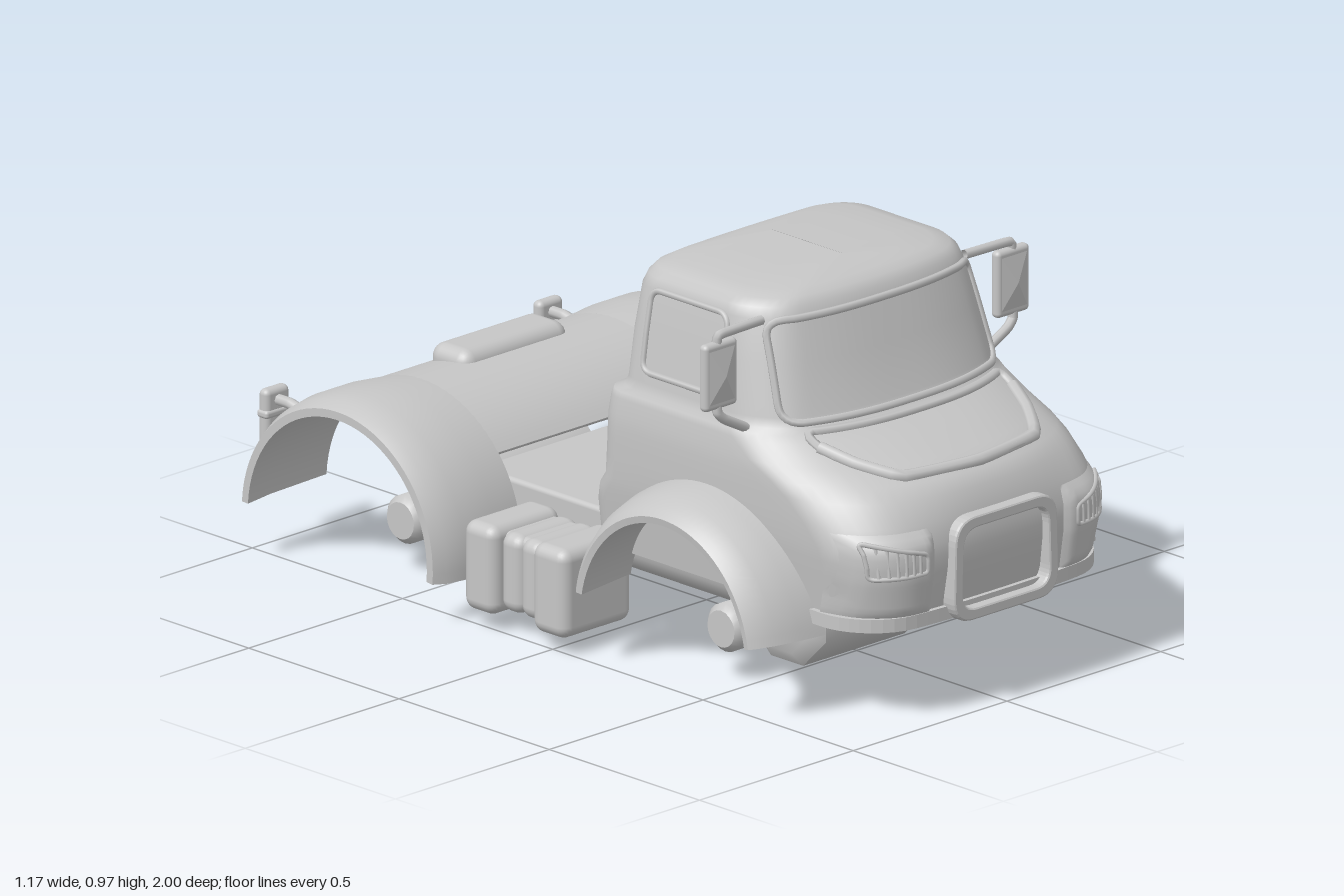
import * as THREE from 'three';
import { toCreasedNormals } from 'three/addons/utils/BufferGeometryUtils.js';
import { RoundedBoxGeometry } from 'three/addons/geometries/RoundedBoxGeometry.js';

const PI = Math.PI;
const V2 = (x, y) => new THREE.Vector2(x, y);
const V3 = (x, y, z) => new THREE.Vector3(x, y, z);

// Cab levels: y, front z, back z, half width, front bow, front corner, back corner
const LEVELS = [
  [0.25, 0.962, 0.01, 0.395, 0.03, 0.14, 0.06],
  [0.36, 0.978, 0.01, 0.41, 0.03, 0.14, 0.06],
  [0.40, 0.98, 0.02, 0.415, 0.035, 0.14, 0.06],
  [0.43, 0.98, 0.042, 0.418, 0.045, 0.14, 0.06],
  [0.48, 0.972, 0.047, 0.42, 0.08, 0.14, 0.06],
  [0.53, 0.95, 0.05, 0.42, 0.13, 0.13, 0.06],
  [0.56, 0.925, 0.051, 0.42, 0.17, 0.12, 0.06],
  [0.59, 0.867, 0.052, 0.418, 0.19, 0.11, 0.06],
  [0.63, 0.765, 0.055, 0.412, 0.16, 0.10, 0.06],
  [0.645, 0.725, 0.06, 0.408, 0.13, 0.10, 0.06],
  [0.657, 0.695, 0.088, 0.398, 0.11, 0.10, 0.06],
  [0.68, 0.674, 0.095, 0.393, 0.09, 0.10, 0.06],
  [0.80, 0.632, 0.098, 0.375, 0.075, 0.10, 0.06],
  [0.90, 0.597, 0.10, 0.356, 0.06, 0.10, 0.07],
  [0.925, 0.587, 0.105, 0.348, 0.06, 0.10, 0.08],
  [0.942, 0.57, 0.116, 0.33, 0.05, 0.10, 0.08],
  [0.953, 0.545, 0.132, 0.285, 0.04, 0.09, 0.08],
  [0.962, 0.505, 0.165, 0.18, 0.015, 0.07, 0.06],
  [0.967, 0.45, 0.22, 0.0005, 0, 0.0003, 0.0003],
];

function levelAt(y) {
  let i = 0;
  while (i < LEVELS.length - 2 && LEVELS[i + 1][0] < y) i++;
  const a = LEVELS[i], b = LEVELS[i + 1], t = (y - a[0]) / (b[0] - a[0]);
  return a.map((v, k) => v + (b[k] - v) * t);
}
const round = (x, w, r) => {
  const q = Math.min(1, Math.max(0, (Math.abs(x) - (w - r)) / r));
  return r * (1 - Math.sqrt(1 - q * q));
};
function frontZ(x, L) {
  return L[1] - L[4] * Math.abs(x / L[3]) ** 2.6 - round(x, L[3], L[5]);
}
const onFront = (x, y, off = 0) => V3(x, y, frontZ(x, levelAt(y)) + off);
const onSide = (z, y) => V3(levelAt(y)[3], y, z);

// One closed horizontal section of the cab
function section(L) {
  const pts = [], n = 32, m = 8, w = L[3];
  const backZ = x => L[2] + 0.015 * (x / 0.4) ** 2 + round(x, w, L[6]);
  for (let i = 0; i <= n; i++) {
    const x = w * Math.sin((i / n - 0.5) * PI);
    pts.push([x, frontZ(x, L)]);
  }
  const zf = frontZ(w, L), zb = backZ(w);
  for (let i = 1; i < m; i++) pts.push([w, zf + (zb - zf) * i / m]);
  for (let i = 0; i <= n; i++) {
    const x = -w * Math.sin((i / n - 0.5) * PI);
    pts.push([x, backZ(x)]);
  }
  for (let i = 1; i < m; i++) pts.push([-w, zb + (zf - zb) * i / m]);
  return pts;
}

function cabGeometry() {
  const pos = [], idx = [];
  const loops = LEVELS.map(section), n = loops[0].length;
  loops.forEach((loop, i) => loop.forEach(p => pos.push(p[0], LEVELS[i][0], p[1])));
  for (let i = 0; i < loops.length - 1; i++) {
    for (let j = 0; j < n; j++) {
      const a = i * n + j, b = i * n + (j + 1) % n;
      idx.push(a, b, b + n, a, b + n, a + n);
    }
  }
  const g = new THREE.BufferGeometry();
  g.setAttribute('position', new THREE.Float32BufferAttribute(pos, 3));
  g.setIndex(idx);
  g.computeVertexNormals();
  return g;
}

// Raised patch on the cab front, tapering to the body at its edges
function frontPatch(x0, x1, y0, y1, height) {
  const g = new THREE.PlaneGeometry(1, 1, 16, 16), p = g.attributes.position;
  for (let i = 0; i < p.count; i++) {
    const u = p.getX(i) + 0.5, v = p.getY(i) + 0.5;
    const edge = Math.min(u, 1 - u, v, 1 - v);
    const q = onFront(x0 + (x1 - x0) * u, y0 + (y1 - y0) * v, height * Math.min(1, edge * 10));
    p.setXYZ(i, q.x, q.y, q.z);
  }
  g.computeVertexNormals();
  return g;
}

// Polygon path with rounded corners
function roundedPath(corners, r, path = new THREE.Path()) {
  const c = corners.map(p => V2(...p)), n = c.length;
  c.forEach((p, i) => {
    const toward = q => p.clone().add(q.clone().sub(p).setLength(r));
    const a = toward(c[(i + n - 1) % n]), b = toward(c[(i + 1) % n]);
    if (i === 0) path.moveTo(a.x, a.y); else path.lineTo(a.x, a.y);
    path.quadraticCurveTo(p.x, p.y, b.x, b.y);
  });
  path.closePath();
  return path;
}
function trim(corners, r, map, radius) {
  const pts = roundedPath(corners, r).getSpacedPoints(90).slice(0, -1).map(p => map(p.x, p.y));
  return new THREE.TubeGeometry(new THREE.CatmullRomCurve3(pts, true), 140, radius, 6, true);
}
const rod = (pts, r) => new THREE.TubeGeometry(new THREE.CatmullRomCurve3(pts, false, 'catmullrom', 0.2), 28, r, 8);

// Lathe turned about the x axis; profile entries are [x, radius]
function turnX(profile, segs, start = 0, len = PI * 2) {
  const g = new THREE.LatheGeometry(profile.map(([x, r]) => V2(r, x)), segs, start, len);
  return toCreasedNormals(g.rotateZ(-PI / 2), 0.82);
}

// Shortens an arch towards its outer edge
function taperZ(g, amount) {
  const p = g.attributes.position;
  for (let i = 0; i < p.count; i++) p.setZ(i, p.getZ(i) * (1 - amount * Math.max(0, p.getX(i) - 0.38)));
  return g;
}

export function createModel() {
  const grey = new THREE.MeshStandardMaterial({ color: 0xc6c6c6, side: THREE.DoubleSide });
  grey.name = 'plain grey';
  const model = new THREE.Group();
  const half = new THREE.Group();
  half.name = 'leftSide';
  const add = (name, geo, x = 0, y = 0, z = 0, parent = model) => {
    const m = new THREE.Mesh(geo, grey);
    m.name = name;
    m.position.set(x, y, z);
    parent.add(m);
  };
  const left = (name, geo, x, y, z) => add(name, geo, x, y, z, half);
  const box = (w, h, d, r) => new RoundedBoxGeometry(w, h, d, 3, r);

  // Cab shell and front trim
  add('cab', cabGeometry());
  add('windshieldFrame', trim([[-0.345, 0.668], [0.345, 0.668], [0.325, 0.9], [-0.325, 0.9]], 0.04, onFront, 0.01));
  add('hoodPanelTrim', trim([[-0.318, 0.65], [-0.312, 0.612], [-0.22, 0.572], [0.22, 0.572], [0.312, 0.612], [0.318, 0.65]], 0.018, onFront, 0.012));
  const hoodLip = [[-0.314, 0.625], [-0.28, 0.598], [-0.21, 0.572], [0, 0.57], [0.21, 0.572], [0.28, 0.598], [0.314, 0.625]];
  add('hoodPanelLip', rod(hoodLip.map(p => onFront(...p)), 0.017));

  // Grille surround
  const surround = roundedPath([[-0.167, 0.23], [0.167, 0.23], [0.16, 0.476], [-0.16, 0.476]], 0.06, new THREE.Shape());
  surround.holes.push(roundedPath([[-0.147, 0.25], [0.147, 0.25], [0.14, 0.456], [-0.14, 0.456]], 0.05));
  add('grilleSurround', new THREE.ExtrudeGeometry(surround, {
    depth: 0.08, bevelEnabled: true, bevelSize: 0.005, bevelThickness: 0.008, bevelSegments: 2, curveSegments: 8,
  }), 0, 0, 0.912);

  // Bumper rim wrapped around the lower front
  const lipEnd = LEVELS[0][3];
  const lip = [[-lipEnd, 0.72], ...section(LEVELS[0]).slice(0, 33), [lipEnd, 0.72]];
  const ring = [...lip.map(([x, z]) => V2(x * 1.04, -(z + 0.014))), ...lip.reverse().map(([x, z]) => V2(x * 0.95, -(z - 0.02)))];
  add('bumperRim', new THREE.ExtrudeGeometry(new THREE.Shape(ring), { depth: 0.033, bevelEnabled: false }).rotateX(-PI / 2), 0, 0.235, 0);

  // Headlights with bars
  left('headlightPod', frontPatch(0.21, 0.406, 0.255, 0.47, 0.016));
  const lampPoint = (x, y) => onFront(x, y, 0.015);
  left('headlightRim', trim([[0.243, 0.418], [0.384, 0.456], [0.376, 0.37], [0.243, 0.372]], 0.012, lampPoint, 0.006));
  for (let i = 1; i < 7; i++) {
    const x = 0.245 + i * 0.019;
    left('headlightBar', rod([lampPoint(x, 0.415 + i * 0.005), lampPoint(x, 0.374)], 0.005));
  }

  // Side window and mirror
  left('sideWindowFrame', trim([[0.47, 0.705], [0.185, 0.705], [0.185, 0.9], [0.435, 0.9]], 0.03, onSide, 0.008));
  left('mirror', box(0.106, 0.165, 0.028, 0.012), 0.475, 0.803, 0.525);
  const face = new THREE.ConeGeometry(0.058, 0.014, 4, 1, true).rotateY(PI / 4).rotateX(PI / 2).scale(1, 1.6, 1);
  left('mirrorFace', toCreasedNormals(face, 0.1), 0.475, 0.803, 0.546);
  left('mirrorArm', rod([V3(0.33, 0.9, 0.52), V3(0.46, 0.9, 0.525), V3(0.478, 0.895, 0.525), V3(0.48, 0.86, 0.525)], 0.012));
  left('mirrorArm', rod([V3(0.385, 0.65, 0.53), V3(0.46, 0.69, 0.53), V3(0.48, 0.71, 0.528), V3(0.482, 0.75, 0.525)], 0.012));

  // Fenders: hollow arches with closed ends
  const arch = (name, profile, y, z, start, end, taper) => {
    left(name, taperZ(turnX([...profile, profile[0]], 40, start, end - start), taper), 0, y, z);
    for (const a of [start, end]) {
      const g = new THREE.ShapeGeometry(new THREE.Shape(profile.map(([x, r]) => V2(r, x))));
      left(name + 'End', taperZ(g.rotateY(a - PI / 2).rotateZ(-PI / 2), taper), 0, y, z);
    }
  };
  arch('frontFender', [[0.38, 0.362], [0.45, 0.355], [0.51, 0.34], [0.55, 0.32], [0.565, 0.305], [0.562, 0.288], [0.38, 0.298]],
    0.138, 0.43, PI + 0.18, 2 * PI - 0.18, 0.25);
  arch('rearFender', [[0.31, 0.333], [0.4, 0.342], [0.5, 0.342], [0.555, 0.333], [0.585, 0.318], [0.585, 0.298], [0.5, 0.31], [0.31, 0.318]],
    0.13, -0.63, PI + 0.06, 2 * PI + 0.09, 0);
  add('rearBarrel', turnX([[-0.32, 0.333], [0.32, 0.333], [0.32, 0.316], [-0.32, 0.316], [-0.32, 0.333]], 24, PI + 0.885, PI - 1.6), 0, 0.13, -0.63);

  // Inner wall beside the rear wheel
  const wall = [V2(-0.33, 0.11), V2(-0.62, 0.19), V2(-0.78, 0.27), V2(-0.8, 0.36)];
  for (let i = 0; i <= 16; i++) {
    const a = 2.25 * (1 - i / 16);
    wall.push(V2(-0.63 + 0.325 * Math.cos(a), 0.13 + 0.325 * Math.sin(a)));
  }
  left('rearInnerWall', new THREE.ShapeGeometry(new THREE.Shape(wall)).rotateY(-PI / 2), 0.313, 0, 0);

  // Tail lamps
  left('tailLamp', box(0.078, 0.14, 0.032, 0.014), 0.445, 0.32, -0.984);
  left('tailLampBand', box(0.086, 0.02, 0.036, 0.008), 0.445, 0.33, -0.982);
  left('tailLampStem', rod([V3(0.445, 0.345, -0.87), V3(0.445, 0.36, -0.93), V3(0.445, 0.36, -0.985)], 0.014));

  // Ribbed side tanks around a solid core
  [[0.01, 0.114, 0.53], [-0.075, 0.074, 0.505], [-0.14, 0.074, 0.505], [-0.222, 0.106, 0.53]].forEach(([z, d, x]) => {
    left('sideTankRib', box(x - 0.3, x - 0.31, d, 0.03), (x + 0.3) / 2, 0.15, z);
  });
  left('sideTankCore', box(0.18, 0.185, 0.28, 0.02), 0.4, 0.15, -0.105);

  // Frame, deck and rear body
  add('deck', box(0.62, 0.085, 0.7, 0.012), 0, 0.25, -0.1);
  add('rearCrossPlate', box(0.62, 0.06, 0.3, 0.01), 0, 0.31, -0.64);
  add('rearTopBox', box(0.345, 0.09, 0.13, 0.035), 0, 0.445, -0.69);
  add('driveTube', new THREE.CylinderGeometry(0.095, 0.095, 1.06, 16).rotateX(PI / 2), 0, 0.125, -0.1);

  // Axles with bevelled centre housings
  for (const z of [0.437, -0.63]) {
    add('axleHousing', turnX([[-0.19, 0], [-0.19, 0.105], [-0.165, 0.1405], [0.165, 0.1405], [0.19, 0.105], [0.19, 0]], 8, PI / 8), 0, 0.13, z);
    add('axleTube', turnX([[-0.38, 0], [-0.38, 0.045], [-0.365, 0.059], [0.365, 0.059], [0.38, 0.045], [0.38, 0]], 20), 0, 0.13, z);
  }
  add('frontHousingTop', box(0.38, 0.14, 0.2, 0.02), 0, 0.165, 0.437);
  const cover = [[0.6, 0.1], [0.84, 0.1], [0.86, 0.085], [0.86, 0.062], [0.875, 0.062], [0.885, 0.045], [0.885, 0]];
  add('rearAxleCover', turnX(cover, 20).rotateY(PI / 2), 0, 0.15, 0);

  const right = half.clone();
  right.name = 'rightSide';
  right.scale.x = -1;
  model.add(half, right);
  return model;
}
